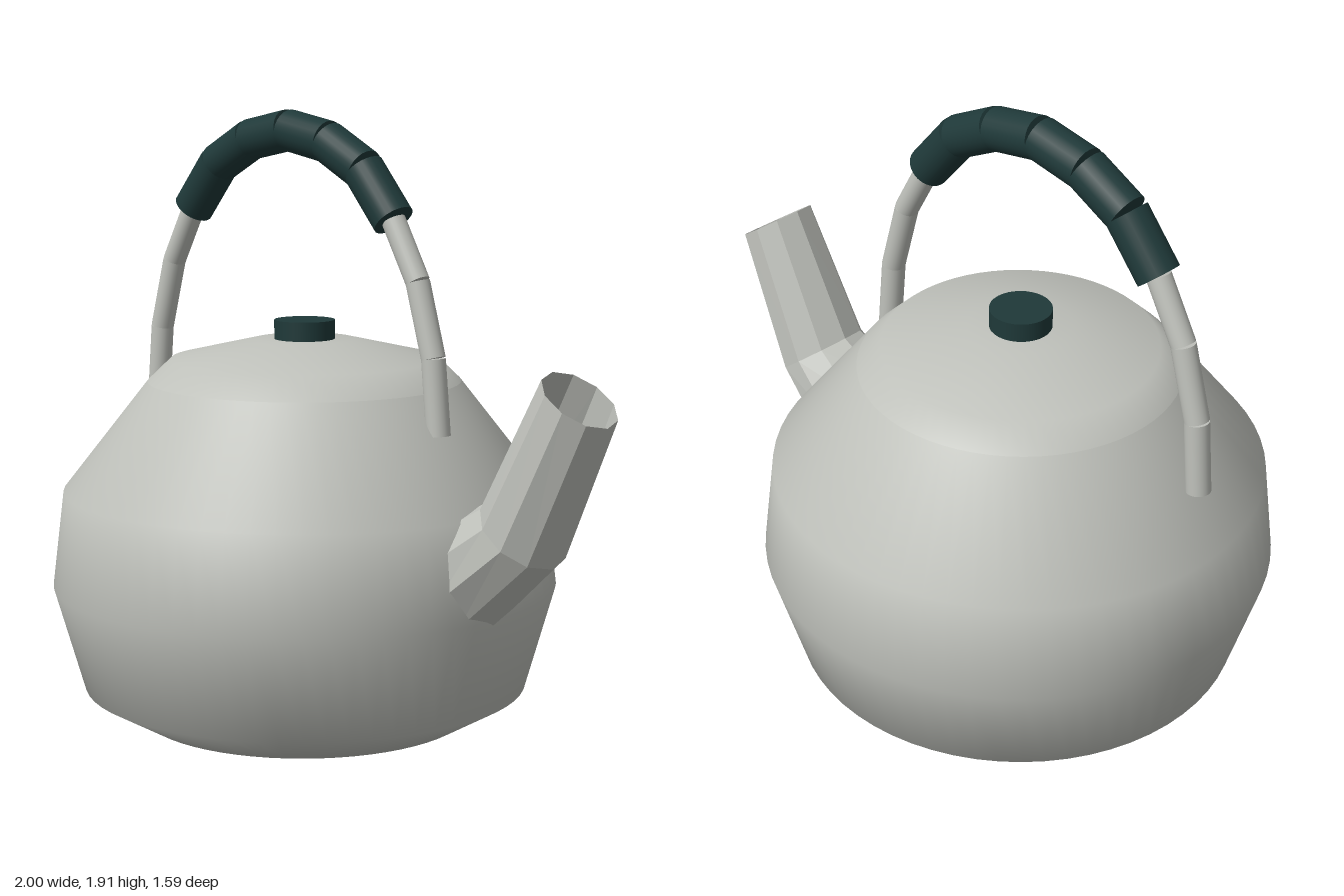
import * as THREE from 'three';

const metal = new THREE.MeshStandardMaterial({ color: 0xbfc1bb, side: THREE.DoubleSide });
metal.name = 'pale metal';
const grip = new THREE.MeshStandardMaterial({ color: 0x1f3939 });
grip.name = 'dark green grip';

const AXIS = -0.203; // x of the pot's centre line

function add(group, name, geometry, material) {
  const mesh = new THREE.Mesh(geometry, material);
  mesh.name = name;
  group.add(mesh);
  return mesh;
}

function lathe(points) {
  return new THREE.LatheGeometry(points.map(([r, y]) => new THREE.Vector2(r, y)), 64);
}

// Straight capped rod between two points in the z = 0 plane
function rod(group, name, a, b, radius, material) {
  const from = new THREE.Vector3(a[0], a[1], 0);
  const to = new THREE.Vector3(b[0], b[1], 0);
  const dir = to.clone().sub(from);
  const mesh = add(group, name, new THREE.CylinderGeometry(radius, radius, dir.length(), 24), material);
  mesh.position.copy(from).add(to).multiplyScalar(0.5);
  mesh.quaternion.setFromUnitVectors(new THREE.Vector3(0, 1, 0), dir.normalize());
}

// Faceted open tube: each ring has a centre, an in-plane half vector and a half width in z
function facetedTube(rings, sides) {
  const positions = [], index = [];
  rings.forEach(({ c, v, w }, j) => {
    for (let i = 0; i < sides; i++) {
      const t = (i / sides) * Math.PI * 2;
      positions.push(c[0] + v[0] * Math.cos(t), c[1] + v[1] * Math.cos(t), w * Math.sin(t));
      if (j === 0) continue;
      const k = (i + 1) % sides, lo = (j - 1) * sides, hi = j * sides;
      index.push(lo + i, hi + k, lo + k, lo + i, hi + i, hi + k);
    }
  });
  const g = new THREE.BufferGeometry();
  g.setAttribute('position', new THREE.Float32BufferAttribute(positions, 3));
  g.setIndex(index);
  const flat = g.toNonIndexed();
  flat.computeVertexNormals();
  return flat;
}

export function createModel() {
  const kettle = new THREE.Group();
  kettle.name = 'kettle';

  // Pot, lid and knob
  add(kettle, 'body', lathe([
    [0, 0], [0.53, 0], [0.703, 0.1], [0.797, 0.43], [0.76, 0.73], [0.493, 1.07],
  ]), metal).position.x = AXIS;
  add(kettle, 'lid', lathe([
    [0.493, 1.07], [0.42, 1.14], [0.16, 1.2], [0, 1.2],
  ]), metal).position.x = AXIS;
  add(kettle, 'lidKnob', new THREE.CylinderGeometry(0.095, 0.095, 0.07, 32), grip)
    .position.set(AXIS, 1.225, 0);

  // Spout: root inside the pot, elbow, open tip
  add(kettle, 'spout', facetedTube([
    { c: [0.5, 0.553], v: [0.06, -0.165], w: 0.178 },
    { c: [0.699, 0.708], v: [0.111, -0.088], w: 0.147 },
    { c: [0.9, 1.12], v: [0.1, -0.07], w: 0.122 },
  ], 10), metal);

  // Arched handle: bare rods at both ends, six grip segments over the top
  const handle = new THREE.Group();
  handle.name = 'handle';
  handle.position.x = -0.27;
  kettle.add(handle);
  const arc = [[0.637, 0.955], [0.615, 1.185], [0.55, 1.41], [0.45, 1.588],
    [0.325, 1.735], [0.172, 1.815], [0, 1.847]];
  for (const side of [-1, 1]) {
    for (let i = 0; i < arc.length - 1; i++) {
      const a = [arc[i][0] * side, arc[i][1]], b = [arc[i + 1][0] * side, arc[i + 1][1]];
      const bare = i < 3;
      rod(handle, bare ? 'handleRod' : 'handleGrip', a, b, bare ? 0.037 : 0.065, bare ? metal : grip);
    }
  }
  return kettle;
}
